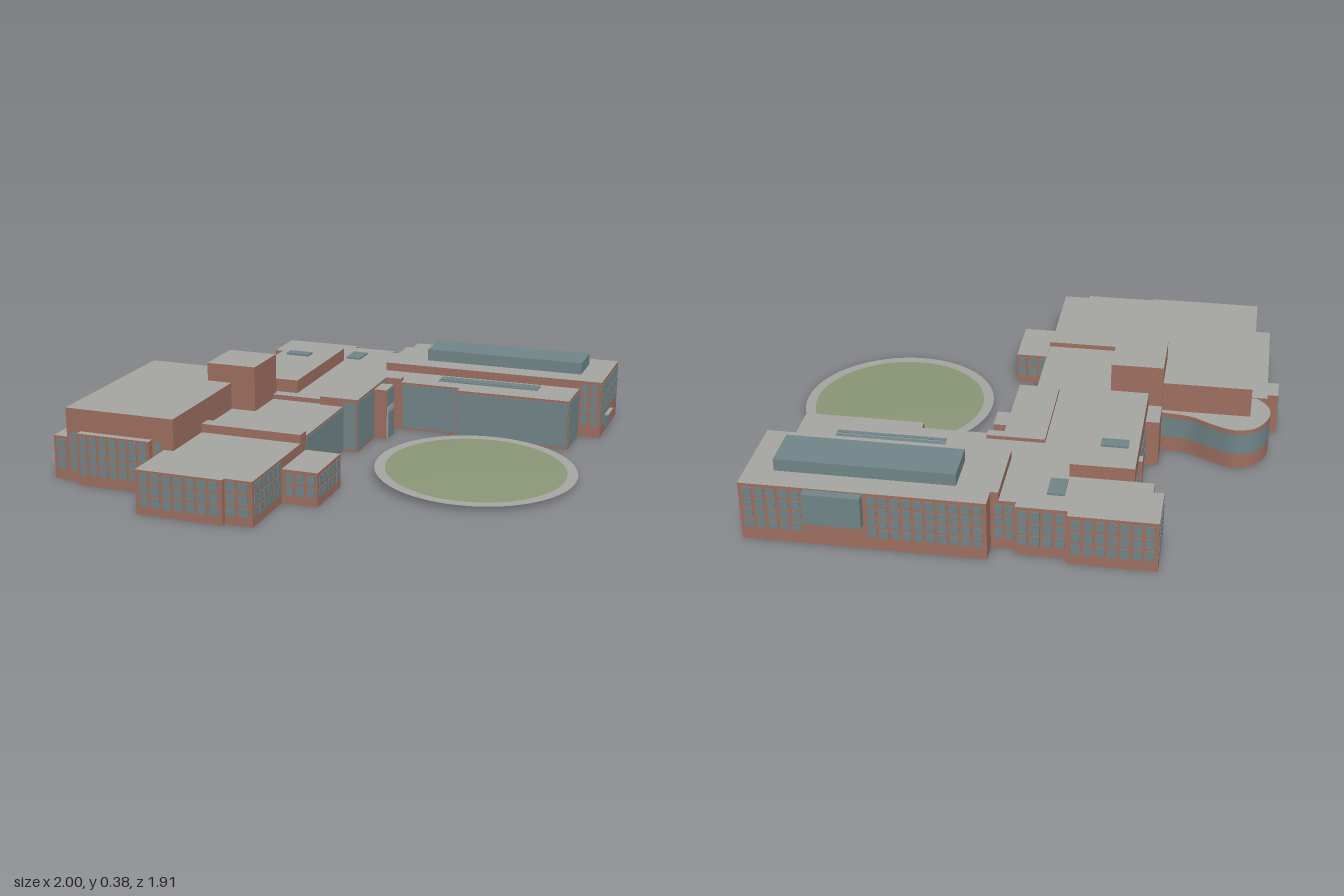
import * as THREE from 'three';
import { mergeGeometries } from 'three/addons/utils/BufferGeometryUtils.js';

const mat = (name, color, side = THREE.FrontSide) => {
  const m = new THREE.MeshStandardMaterial({ color, side });
  m.name = name;
  return m;
};

export function createModel() {
  const group = new THREE.Group();
  const brick = mat('brick', 0x9e6f61);
  const glass = mat('glass', 0x718588);
  const roof = mat('roofGrey', 0xa5a5a1);
  const paving = mat('pavingGrey', 0xa5a5a1, THREE.DoubleSide);
  const grass = mat('grass', 0x8b9676, THREE.DoubleSide);

  const add = (name, geometry, material) => {
    const mesh = new THREE.Mesh(geometry, material);
    mesh.name = name;
    group.add(mesh);
    return mesh;
  };
  const boxGeo = (x0, x1, y0, y1, z0, z1) =>
    new THREE.BoxGeometry(x1 - x0, y1 - y0, z1 - z0)
      .translate((x0 + x1) / 2, (y0 + y1) / 2, (z0 + z1) / 2);

  // Brick volumes with grey roofs: name, x0, x1, z0, z1, height
  const skin = [brick, brick, roof, brick, brick, brick];
  const blocks = [
    ['frontWing', -0.47, -0.12, 0.46, 0.95, 0.175],
    ['frontWingCorner', -0.12, -0.01, 0.46, 0.93, 0.175],
    ['frontAnnex', -0.01, 0.135, 0.41, 0.655, 0.135],
    ['partyWall', -0.43, -0.01, 0.405, 0.46, 0.21],
    ['courtHall', -0.43, -0.01, -0.02, 0.405, 0.19],
    ['leftWingAisle', -0.955, -0.89, 0.11, 0.70, 0.178],
    ['leftWingHall', -0.89, -0.43, -0.04, 0.71, 0.30],
    ['leftWingFrontBay', -0.83, -0.52, 0.71, 0.74, 0.21],
    ['leftWingSideBay', -1.0, -0.955, 0.14, 0.245, 0.178],
    ['tower', -0.535, -0.325, -0.055, 0.17, 0.375],
    ['westLink', -0.535, -0.47, -0.185, -0.055, 0.20],
    ['stairHall', -0.48, -0.235, -0.64, -0.07, 0.265],
    ['centralBlock', -0.47, 0.0, -0.84, -0.02, 0.21],
    ['entranceBlock', -0.11, 0.055, -0.42, -0.01, 0.225],
    ['entranceParapet', 0.055, 0.12, -0.42, -0.38, 0.225],
    ['entranceBay', 0.055, 0.11, -0.32, -0.22, 0.215],
    ['westVent', -0.495, -0.47, -0.49, -0.45, 0.205],
    ['northWestEnd', -0.595, -0.47, -0.90, -0.70, 0.21],
    ['northWestStep', -0.555, -0.47, -0.70, -0.64, 0.21],
    ['northWestBack', -0.47, -0.26, -0.90, -0.84, 0.21],
    ['northMiddleBack', -0.26, -0.065, -0.87, -0.84, 0.21],
    ['northEastBlock', 0.0, 0.96, -0.84, -0.545, 0.245],
    ['northEastBackWall', 0.03, 0.96, -0.92, -0.84, 0.245],
    ['southGallery', 0.0, 0.385, -0.545, -0.38, 0.21],
    ['southGalleryEast', 0.385, 0.865, -0.545, -0.34, 0.21],
  ];
  for (const [name, x0, x1, z0, z1, h] of blocks) add(name, boxGeo(x0, x1, 0, h, z0, z1), skin);

  // Thin plate on a wall; axis is the wall's normal, sign its direction
  const plate = (axis, sign, pos, a0, a1, y0, y1) => {
    const p0 = pos - 0.002, p1 = pos + 0.002, s = sign * 0.001;
    return axis === 'x' ? boxGeo(p0 + s, p1 + s, y0, y1, a0, a1) : boxGeo(a0, a1, y0, y1, p0 + s, p1 + s);
  };
  // Window grid, in bays about 0.046 wide
  const windows = (name, axis, sign, pos, a0, a1, y0, y1) => {
    const cols = Math.max(1, Math.round((a1 - a0) / 0.046)), rows = Math.max(1, Math.round((y1 - y0) / 0.046));
    const w = (a1 - a0) / cols, h = (y1 - y0) / rows, parts = [];
    for (let i = 0; i < cols; i++) for (let j = 0; j < rows; j++) {
      parts.push(plate(axis, sign, pos, a0 + (i + 0.14) * w, a0 + (i + 0.86) * w,
        y0 + (j + 0.1) * h, y0 + (j + 0.9) * h));
    }
    add(name, mergeGeometries(parts), glass);
  };
  [
    ['frontWingWindows', 'z', 1, 0.95, -0.46, -0.13, 0.03, 0.17],
    ['frontCornerWindows', 'z', 1, 0.93, -0.12, -0.02, 0.03, 0.17],
    ['frontWingEastWindows', 'x', 1, -0.01, 0.66, 0.92, 0.03, 0.17],
    ['frontWingWestWindows', 'x', -1, -0.47, 0.72, 0.94, 0.03, 0.17],
    ['annexFrontWindows', 'z', 1, 0.655, 0.0, 0.13, 0.03, 0.125],
    ['annexEastWindows', 'x', 1, 0.135, 0.42, 0.645, 0.03, 0.125],
    ['annexBackWindows', 'z', -1, 0.41, 0.0, 0.13, 0.03, 0.125],
    ['aisleFrontWindows', 'z', 1, 0.70, -0.95, -0.895, 0.04, 0.17],
    ['hallFrontWindows', 'z', 1, 0.71, -0.885, -0.835, 0.04, 0.205],
    ['bayFrontWindows', 'z', 1, 0.74, -0.825, -0.525, 0.04, 0.205],
    ['hallFrontEastWindows', 'z', 1, 0.71, -0.515, -0.475, 0.04, 0.205],
    ['aisleWestWindows', 'x', -1, -0.955, 0.255, 0.69, 0.04, 0.17],
    ['sideBayWindows', 'x', -1, -1.0, 0.145, 0.24, 0.04, 0.17],
    ['centralWestWindows', 'x', -1, -0.48, -0.44, -0.19, 0.04, 0.19],
    ['centralWestRearWindows', 'x', -1, -0.48, -0.635, -0.495, 0.04, 0.19],
    ['northWestEndWindows', 'x', -1, -0.595, -0.89, -0.71, 0.04, 0.2],
    ['northWestBackWindows', 'z', -1, -0.90, -0.585, -0.27, 0.04, 0.2],
    ['northMiddleWindows', 'z', -1, -0.87, -0.255, -0.07, 0.04, 0.2],
    ['northLinkWindows', 'z', -1, -0.84, -0.06, 0.02, 0.04, 0.2],
    ['northEastBackWindows', 'z', -1, -0.92, 0.04, 0.48, 0.05, 0.235],
    ['northEastBackEndWindows', 'z', -1, -0.92, 0.72, 0.95, 0.05, 0.235],
    ['eastEndWindows', 'x', 1, 0.96, -0.91, -0.55, 0.09, 0.235],
    ['eastEndLowWindows', 'x', 1, 0.96, -0.65, -0.55, 0.04, 0.09],
    ['eastReturnWindows', 'z', 1, -0.545, 0.87, 0.95, 0.05, 0.235],
  ].forEach((w) => windows(...w));

  // Fully glazed walls and doors
  [
    ['courtGlazing', 'x', 1, -0.01, -0.01, 0.405, 0.01, 0.183],
    ['entranceSouthGlazing', 'z', 1, -0.01, -0.005, 0.05, 0.01, 0.21],
    ['entranceEastGlazing', 'x', 1, 0.055, -0.215, -0.015, 0.01, 0.215],
    ['entranceRearGlazing', 'x', 1, 0.055, -0.38, -0.325, 0.01, 0.215],
    ['galleryGlazing', 'z', 1, -0.38, 0.13, 0.383, 0.01, 0.2],
    ['galleryEastGlazing', 'z', 1, -0.34, 0.39, 0.86, 0.01, 0.2],
    ['galleryEndGlazing', 'x', 1, 0.865, -0.54, -0.345, 0.01, 0.2],
    ['bayUpperGlazing', 'x', 1, 0.11, -0.315, -0.225, 0.14, 0.21],
    ['eastDoor', 'x', 1, 0.96, -0.75, -0.66, 0.0, 0.07],
  ].forEach(([name, ...p]) => add(name, plate(...p), glass));
  add('entrancePortal', plate('x', 1, 0.11, -0.315, -0.225, 0.0, 0.138), roof);
  add('entranceDoor', plate('x', 1, 0.113, -0.305, -0.235, 0.0, 0.115), glass);
  add('eastDoorCanopy', boxGeo(0.96, 0.975, 0.07, 0.076, -0.76, -0.655), roof);
  add('backOriel', boxGeo(0.49, 0.71, 0.11, 0.24, -0.955, -0.92), glass);

  // Rooflights
  add('mainRooflight', boxGeo(0.16, 0.85, 0.245, 0.295, -0.82, -0.645), glass);
  add('galleryRooflight', boxGeo(0.27, 0.705, 0.21, 0.214, -0.52, -0.475), glass);
  add('galleryRooflightStrip', boxGeo(0.27, 0.705, 0.21, 0.214, -0.465, -0.45), glass);
  add('centralRooflight', boxGeo(-0.235, -0.17, 0.21, 0.218, -0.775, -0.67), glass);
  add('stairRooflight', boxGeo(-0.44, -0.335, 0.265, 0.273, -0.5, -0.45), glass);

  // Rounded corner room: brick base, glazed band, brick rim with grey roof
  const curve = new THREE.CatmullRomCurve3([
    [-0.535, -0.06], [-0.65, -0.075], [-0.74, -0.122], [-0.83, -0.155], [-0.905, -0.135],
    [-0.952, -0.075], [-0.97, 0.0], [-0.955, 0.06], [-0.915, 0.11],
  ].map(([x, z]) => new THREE.Vector3(x, 0, z)));
  const outline = curve.getPoints(48).map((p) => new THREE.Vector2(p.x, -p.z));
  const plan = new THREE.Shape([...outline, new THREE.Vector2(-0.88, -0.14), new THREE.Vector2(-0.535, -0.14)]);
  const layer = (name, y0, y1, materials) =>
    add(name, new THREE.ExtrudeGeometry(plan, { depth: y1 - y0, bevelEnabled: false })
      .rotateX(-Math.PI / 2).translate(0, y0, 0), materials);
  layer('roundRoomBase', 0, 0.065, [brick, brick]);
  layer('roundRoomGlazing', 0.065, 0.155, [glass, glass]);
  layer('roundRoomRim', 0.155, 0.175, [roof, brick]);

  // Gently sloping round lawn with a paved ring
  const slope = (geometry, rise) => {
    geometry.rotateX(-Math.PI / 2);
    const p = geometry.attributes.position;
    for (let i = 0; i < p.count; i++) {
      const x = p.getX(i), z = p.getZ(i), r = Math.hypot(x, z);
      p.setY(i, 0.031 - 0.02 * x - 0.017 * z + rise * (1 - (r / 0.36) ** 2));
    }
    geometry.computeVertexNormals();
    return geometry.translate(0.595, 0, 0.11);
  };
  add('lawnPath', slope(new THREE.RingGeometry(0.36, 0.402, 64), 0), paving);
  add('lawn', slope(new THREE.RingGeometry(0, 0.36, 64, 6), 0.008), grass);

  return group;
}
